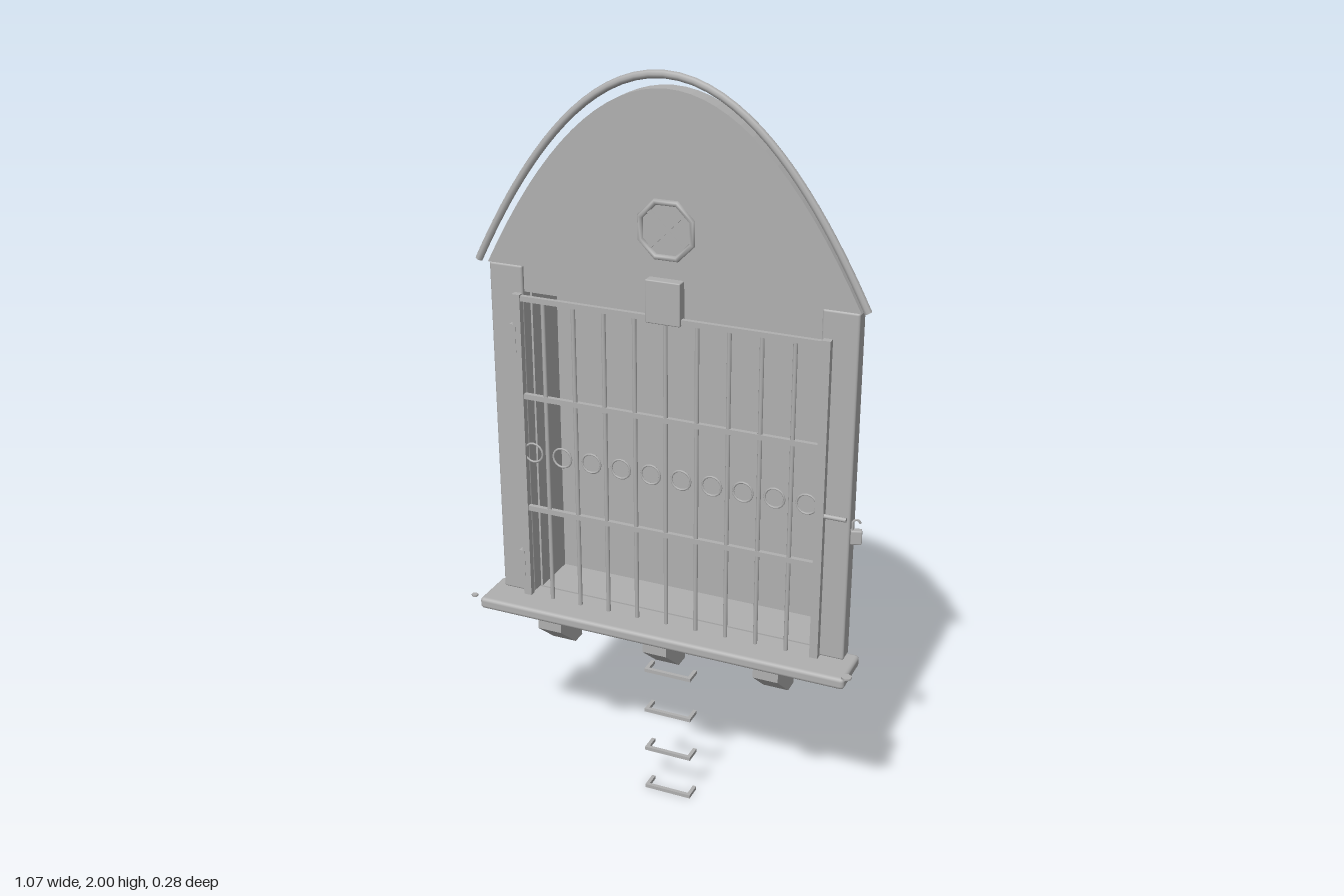
import * as THREE from 'three';
import { RoundedBoxGeometry } from 'three/addons/geometries/RoundedBoxGeometry.js';

export function createModel() {
  const model = new THREE.Group();
  model.name = 'barredWindow';
  const grey = new THREE.MeshStandardMaterial({ color: 0xb0b0b0 });
  grey.name = 'stone grey';

  const add = (name, geo, x = 0, y = 0, z = 0) => {
    const m = new THREE.Mesh(geo, grey);
    m.name = name;
    m.position.set(x, y, z);
    model.add(m);
    return m;
  };
  // Box given by its minimum and maximum corners
  const box = (name, x0, x1, y0, y1, z0, z1, round = 0) => {
    const s = [x1 - x0, y1 - y0, z1 - z0];
    const geo = round ? new RoundedBoxGeometry(...s, 2, round) : new THREE.BoxGeometry(...s);
    return add(name, geo, (x0 + x1) / 2, (y0 + y1) / 2, (z0 + z1) / 2);
  };
  // Round rod between two points
  const rod = (name, a, b, r, sides = 8) => {
    const p = new THREE.Vector3(...a), q = new THREE.Vector3(...b);
    const m = add(name, new THREE.CylinderGeometry(r, r, p.distanceTo(q), sides));
    m.position.copy(p).add(q).multiplyScalar(0.5);
    m.quaternion.setFromUnitVectors(new THREE.Vector3(0, 1, 0), q.sub(p).normalize());
    return m;
  };

  // Parabolic arch panel
  const arch = new THREE.Shape();
  arch.moveTo(-0.49, 1.48);
  arch.lineTo(0.49, 1.48);
  arch.quadraticCurveTo(0, 2.43, -0.49, 1.48);
  add('archPanel', new THREE.ExtrudeGeometry(arch, { depth: 0.045, bevelEnabled: false, curveSegments: 32 }), 0, 0, -0.005);

  // Rim standing clear of the arch
  const rim = new THREE.QuadraticBezierCurve3(
    new THREE.Vector3(-0.508, 1.49, 0.05), new THREE.Vector3(0, 2.49, 0.05), new THREE.Vector3(0.508, 1.49, 0.05));
  add('archRim', new THREE.TubeGeometry(rim, 40, 0.01, 8));
  for (const s of [-1, 1]) {
    const cap = add('rimEnd', new THREE.CylinderGeometry(0.01, 0.01, 0.004, 8), s * 0.508, 1.49, 0.05);
    cap.rotation.z = s * 0.47;
  }

  // Rosette: octagonal ring with a cross inside
  const ring = add('rosetteRing', new THREE.TorusGeometry(0.073, 0.008, 6, 8), 0, 1.62, 0.042);
  ring.rotation.z = Math.PI / 8;
  for (const s of [-1, 1]) {
    const spoke = add('rosetteSpoke', new THREE.BoxGeometry(0.13, 0.012, 0.008), 0, 1.62, 0.041);
    spoke.rotation.z = s * Math.PI / 4;
  }

  // Jambs and lintel
  box('leftJamb', 0.395, 0.487, 0.55, 1.48, -0.005, 0.04, 0.006);
  box('rightJamb', -0.487, -0.395, 0.55, 1.48, -0.005, 0.04, 0.006);
  box('lintel', -0.395, 0.395, 1.41, 1.48, 0, 0.03);

  // Recess box behind the opening
  box('recessRight', -0.402, -0.39, 0.54, 1.41, -0.135, 0);
  box('recessLeft', 0.395, 0.407, 0.54, 1.41, -0.135, 0);
  box('recessTop', -0.39, 0.395, 1.398, 1.41, -0.135, 0);
  box('recessFloor', -0.39, 0.395, 0.54, 0.552, -0.135, 0);

  // Back plate with round edging and rivets
  box('backPlate', -0.425, 0.428, 0.522, 1.43, -0.144, -0.134);
  for (const y of [0.522, 1.43]) {
    rod('plateEdge', [-0.433, y, -0.14], [0.436, y, -0.14], 0.008);
    for (let i = 0; i < 20; i++) {
      add('rivet', new THREE.SphereGeometry(0.003, 6, 4), -0.38 + i * 0.04, y + (y < 1 ? 0.018 : -0.018), -0.144);
    }
  }
  for (const x of [-0.426, 0.429]) rod('plateEdge', [x, 0.515, -0.14], [x, 1.437, -0.14], 0.008);

  // Sill, with corbels below it
  box('sill', -0.515, 0.518, 0.52, 0.552, -0.003, 0.13, 0.01);
  const side = new THREE.Shape([[0, 0.525], [0, 0.425], [0.04, 0.425], [0.123, 0.495], [0.123, 0.525]]
    .map(([z, y]) => new THREE.Vector2(-z, y)));
  for (const x of [-0.307, 0, 0.309]) {
    const corbel = add('corbel', new THREE.ExtrudeGeometry(side, { depth: 0.068, bevelEnabled: false }), x - 0.034, 0, 0);
    corbel.rotation.y = Math.PI / 2;
  }

  // Grille: frame, upright bars, rails and a row of rings
  const gz = 0.052;
  for (const x of [-0.404, 0.414]) box('grilleStile', x - 0.011, x + 0.011, 0.545, 1.41, gz - 0.009, gz + 0.009);
  for (const y of [0.815, 1.135, 1.4]) box('grilleRail', -0.41, 0.42, y - 0.007, y + 0.007, gz - 0.006, gz + 0.006);
  for (let i = 0; i < 10; i++) {
    const x = -0.374 + i * 0.0836;
    add('grilleRing', new THREE.TorusGeometry(0.026, 0.003, 6, 16), x, 0.977, gz);
    if (i < 9) rod('grilleBar', [x + 0.0418, 0.515, gz], [x + 0.0418, 1.4, gz], 0.006);
  }

  // Top catch and hinges
  box('topCatch', -0.046, 0.046, 1.39, 1.5, 0.035, 0.066, 0.003);
  for (const y of [0.61, 1.255]) box('hinge', -0.424, -0.408, y, y + 0.075, 0.04, 0.062);

  // Latch bolt and hanging padlock
  rod('latchBolt', [0.42, 0.955, 0.055], [0.482, 0.955, 0.055], 0.006);
  const lock = box('padlock', 0.499, 0.527, 0.905, 0.942, 0.06, 0.078, 0.003);
  lock.rotation.y = 0.35;
  const shackle = add('shackle', new THREE.TorusGeometry(0.009, 0.003, 6, 10, Math.PI), 0.512, 0.96, 0.069);
  shackle.rotation.y = 0.35;
  rod('shackleLeg', [0.504, 0.94, 0.072], [0.504, 0.96, 0.072], 0.003, 6);

  // Loose flat chips at the sill ends
  for (const [x, z, r] of [[0.523, 0.122, 0.014], [-0.53, 0.128, 0.009]]) {
    add('chip', new THREE.CylinderGeometry(r, r, 0.005, 6), x, 0.557, z);
  }

  // U-shaped climbing rungs
  for (const y of [0.01, 0.135, 0.26, 0.387]) {
    box('rungBar', -0.065, 0.069, y - 0.005, y + 0.005, 0.035, 0.045);
    for (const x of [-0.06, 0.064]) box('rungLeg', x - 0.005, x + 0.005, y - 0.005, y + 0.005, -0.002, 0.036);
  }
  return model;
}
